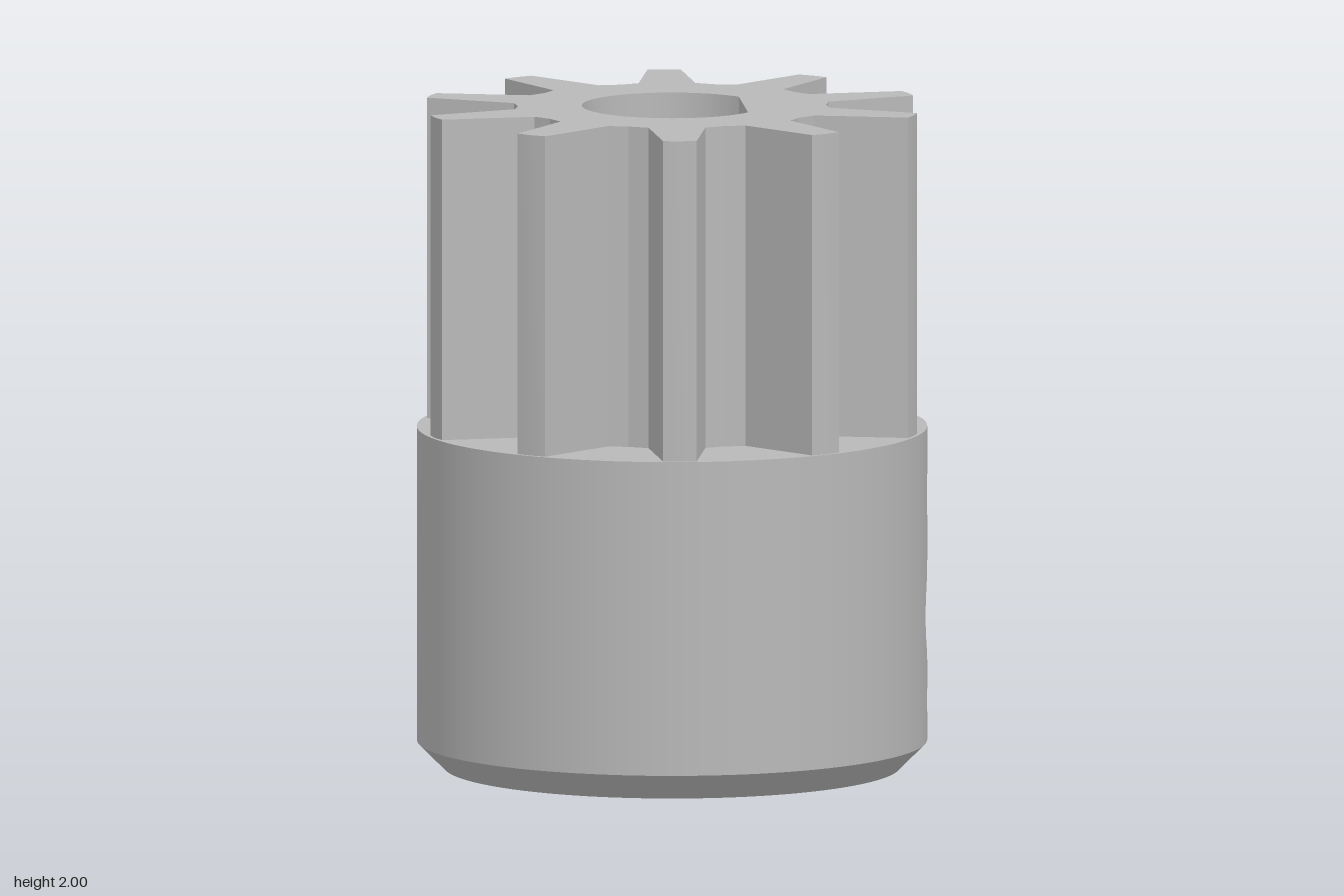
import * as THREE from 'three';
import { toCreasedNormals } from 'three/addons/utils/BufferGeometryUtils.js';
import { ParametricGeometry } from 'three/addons/geometries/ParametricGeometry.js';

const R = 0.765, CHAMFER = 0.08, HUB_TOP = 1.03, TOP = 2;
const BORE = 0.27, FLAT = 0.215, FLAT_ANGLE = Math.acos(FLAT / BORE);
const HOLE = 0.15, HOLE_Y = 0.465, PATCH = 0.22;
const TEETH = 10, TEETH_TURN = THREE.MathUtils.degToRad(3);

// D-shaped outline of the shaft bore
function borePath() {
  const p = new THREE.Path();
  p.absarc(0, 0, BORE, FLAT_ANGLE, 2 * Math.PI - FLAT_ANGLE);
  p.closePath();
  return p;
}

// Disc with the bore cut out
function discGeometry(radius) {
  const s = new THREE.Shape();
  s.absarc(0, 0, radius, 0, 2 * Math.PI);
  s.holes.push(borePath());
  return new THREE.ShapeGeometry(s, 64);
}

// Toothed outline: root, flank, tip, flank for each tooth
function gearGeometry() {
  const pts = [];
  const corner = [[-0.31, 0.462], [-0.18, 0.476], [-0.067, 0.752], [0, 0.755], [0.067, 0.752], [0.18, 0.476]];
  for (let i = 0; i < TEETH; i++) {
    const centre = TEETH_TURN + (i / TEETH) * 2 * Math.PI;
    for (const [a, r] of corner) pts.push(new THREE.Vector2(r * Math.sin(centre + a), r * Math.cos(centre + a)));
  }
  const s = new THREE.Shape(pts);
  s.holes.push(borePath());
  const g = new THREE.ExtrudeGeometry(s, { depth: TOP - HUB_TOP, bevelEnabled: false, curveSegments: 64 });
  return toCreasedNormals(g.rotateX(-Math.PI / 2), 0.3);
}

// Piece of the hub wall around the screw hole, from the hole edge out to a rectangle
function holePatch(u, v, target) {
  const a = u * 2 * Math.PI, c = Math.cos(a), s = Math.sin(a);
  const k = 1 / Math.max(Math.abs(c), Math.abs(s));
  const edgeY = s * k * (s > 0 ? HUB_TOP - HOLE_Y : HOLE_Y - CHAMFER);
  const z = THREE.MathUtils.lerp(HOLE * c, PATCH * c * k, v);
  const y = HOLE_Y + THREE.MathUtils.lerp(HOLE * s, edgeY, v);
  target.set(Math.sqrt(R * R - z * z), y, z);
}

// Wall of the screw hole, from the bore flat to the outer wall
function holeWall(u, v, target) {
  const a = u * 2 * Math.PI, z = HOLE * Math.cos(a);
  target.set(THREE.MathUtils.lerp(FLAT, Math.sqrt(R * R - z * z), v), HOLE_Y + HOLE * Math.sin(a), z);
}

// Flat side of the bore in the hub, pierced by the screw hole
function boreFlatGeometry() {
  const w = BORE * Math.sin(FLAT_ANGLE);
  const s = new THREE.Shape();
  s.moveTo(-w, 0).lineTo(w, 0).lineTo(w, HUB_TOP).lineTo(-w, HUB_TOP);
  const hole = new THREE.Path();
  hole.absarc(0, HOLE_Y, HOLE, 0, 2 * Math.PI);
  s.holes.push(hole);
  return new THREE.ShapeGeometry(s, 24).rotateY(-Math.PI / 2).translate(FLAT, 0, 0);
}

// Open cylinder with a gap of the given half angle on its +x side
function gappedWall(radius, y0, y1, gap) {
  return new THREE.CylinderGeometry(radius, radius, y1 - y0, 96, 1, true, Math.PI / 2 + gap, 2 * (Math.PI - gap))
    .translate(0, (y0 + y1) / 2, 0);
}

export function createModel() {
  const group = new THREE.Group();
  const grey = new THREE.MeshStandardMaterial({ color: 0xb8b8b8 });
  grey.name = 'grey';
  grey.side = THREE.DoubleSide;
  const add = (name, geometry) => {
    const mesh = new THREE.Mesh(geometry, grey);
    mesh.name = name;
    group.add(mesh);
  };

  // Hub
  add('hubWall', gappedWall(R, CHAMFER, HUB_TOP, Math.asin(PATCH / R)));
  add('hubWallAroundHole', new ParametricGeometry(holePatch, 64, 8));
  add('hubChamfer', new THREE.CylinderGeometry(R, 0.685, CHAMFER, 96, 1, true).translate(0, CHAMFER / 2, 0));
  add('hubTop', discGeometry(R).rotateX(-Math.PI / 2).translate(0, HUB_TOP, 0));
  add('hubBottom', discGeometry(0.685).rotateX(Math.PI / 2));

  // Bore and screw hole
  add('boreWall', gappedWall(BORE, 0, HUB_TOP, FLAT_ANGLE));
  add('boreFlat', boreFlatGeometry());
  add('screwHole', new ParametricGeometry(holeWall, 48, 1));

  // Gear
  add('gear', gearGeometry().translate(0, HUB_TOP, 0));
  return group;
}
